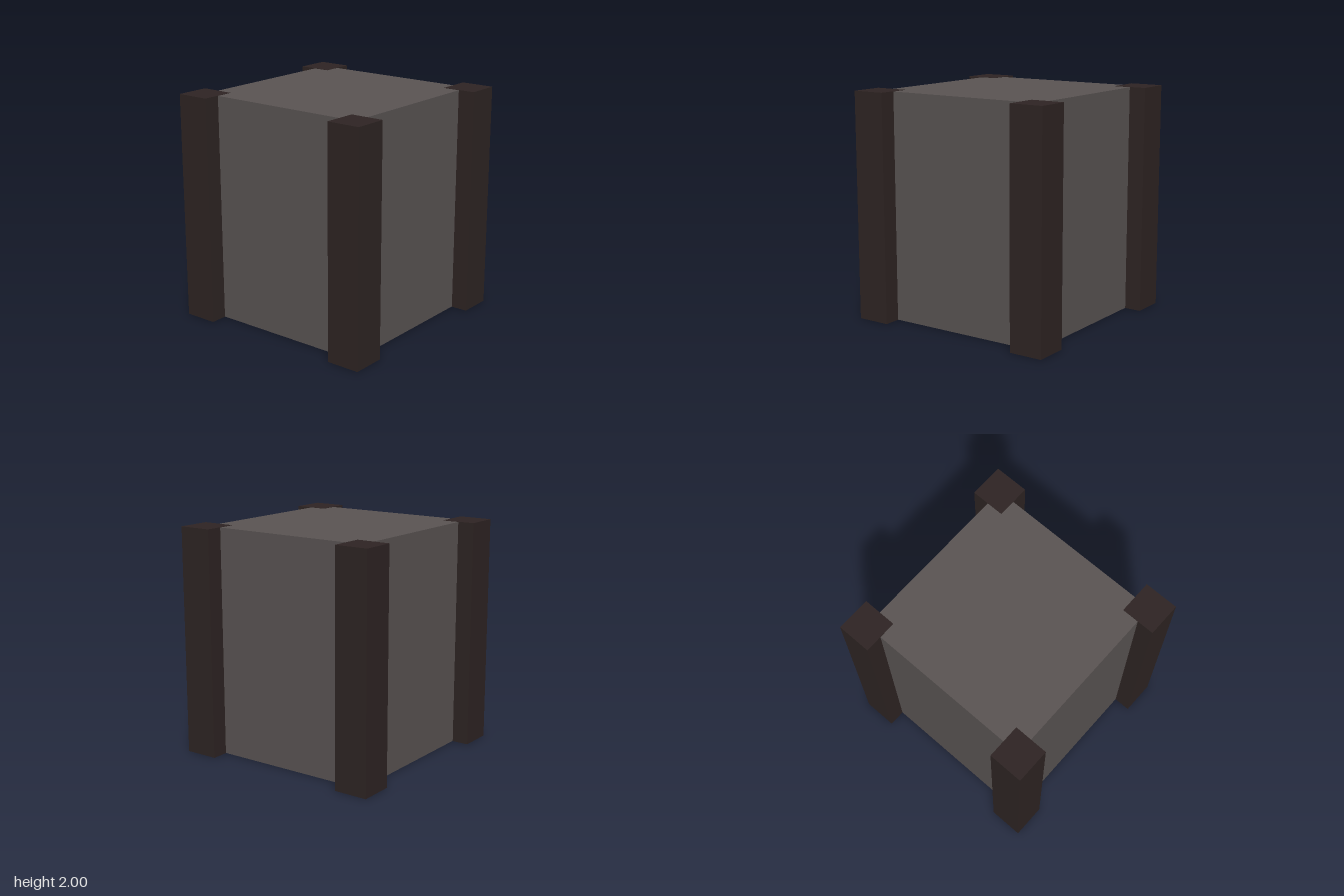
import * as THREE from 'three';

export function createModel() {
  const model = new THREE.Group();
  model.name = 'postedBlock';

  const stone = new THREE.MeshStandardMaterial({ color: 0x5a5453 });
  stone.name = 'grey stone';
  const darkWood = new THREE.MeshStandardMaterial({ color: 0x2e2423 });
  darkWood.name = 'dark wood';

  const addBox = (name, w, h, d, x, z, material) => {
    const mesh = new THREE.Mesh(new THREE.BoxGeometry(w, h, d), material);
    mesh.name = name;
    mesh.position.set(x, 1, z);
    model.add(mesh);
  };

  // Central block, a hair shorter than the posts so their ends stay clean
  addBox('block', 1.6, 1.996, 1.6, 0, 0, stone);

  // Square posts centred on the four vertical edges
  for (const [side, x] of [['Left', 0.8], ['Right', -0.8]]) {
    for (const [end, z] of [['front', 0.8], ['back', -0.8]]) {
      addBox(`${end}${side}Post`, 0.3, 2, 0.3, x, z, darkWood);
    }
  }

  return model;
}
